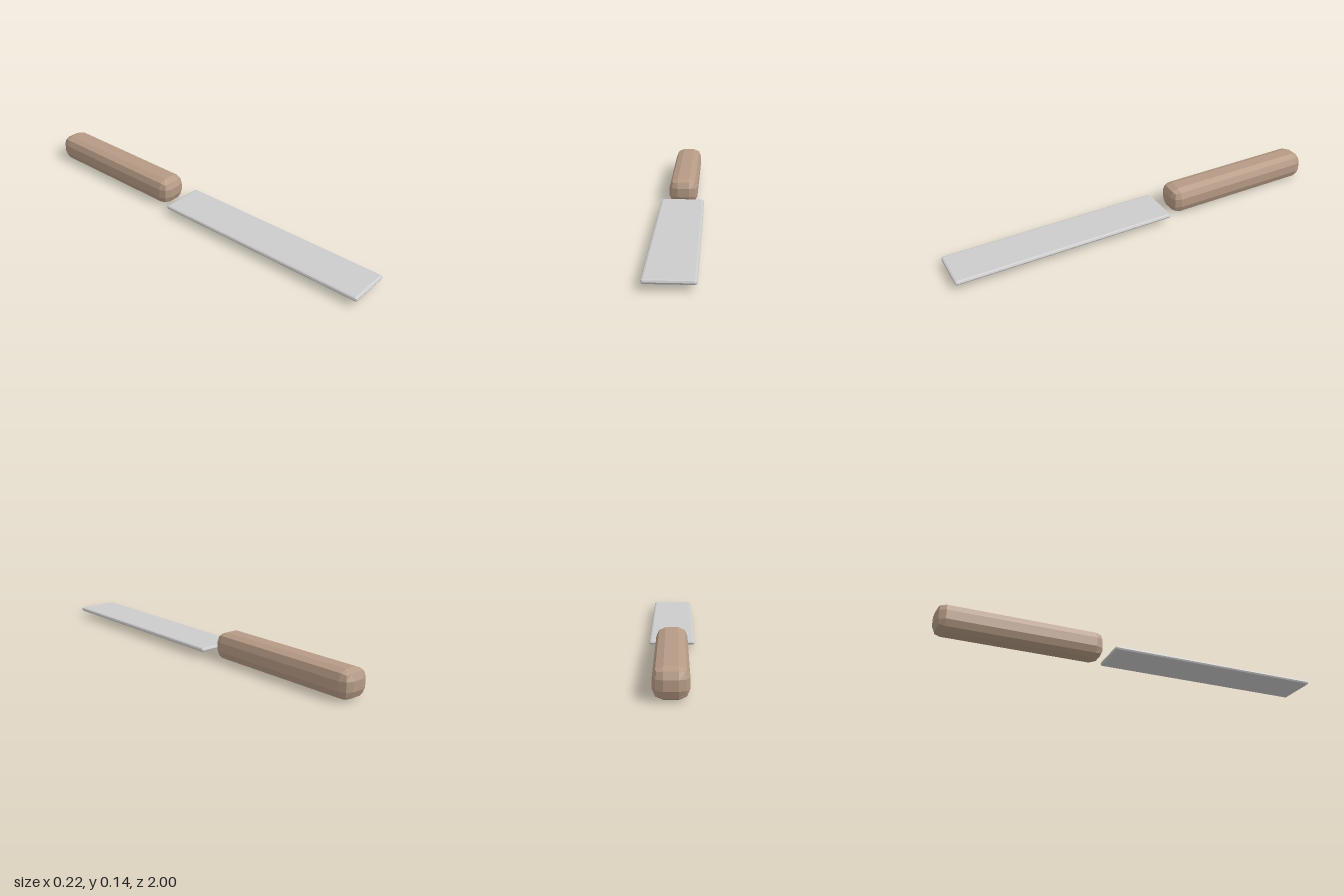
import * as THREE from 'three';
import { RoundedBoxGeometry } from 'three/addons/geometries/RoundedBoxGeometry.js';

// A low-poly bevelled block spanning z0..z1, centred on x = 0
function bevelledBar(name, width, height, z0, z1, y, radius, color) {
  const geometry = new RoundedBoxGeometry(width, height, z1 - z0, 1, radius);
  const material = new THREE.MeshStandardMaterial({ color, flatShading: true });
  const mesh = new THREE.Mesh(geometry, material);
  mesh.name = name;
  mesh.position.set(0, y, (z0 + z1) / 2);
  return mesh;
}

export function createModel() {
  const model = new THREE.Group();
  model.name = 'knife';

  // Wooden grip at the back
  model.add(bevelledBar('handle', 0.15, 0.136, -1, -0.172, 0.068, 0.045, 0xb69b85));

  // Thin flat blade, separated from the grip by a small gap
  model.add(bevelledBar('blade', 0.225, 0.022, -0.131, 1, 0.0385, 0.011, 0xcccccc));

  return model;
}
